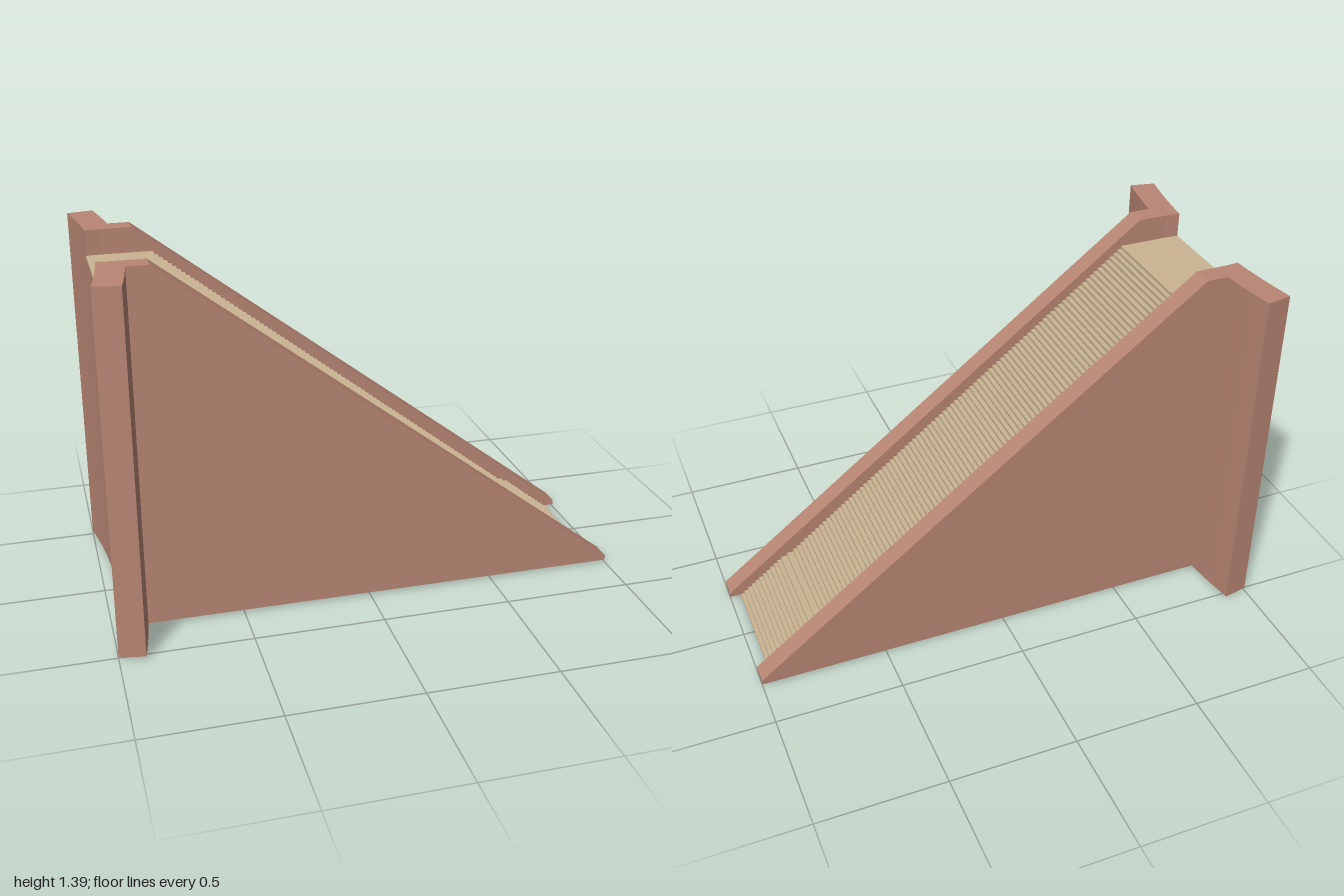
import * as THREE from 'three';

const brick = new THREE.MeshStandardMaterial({ color: 0xb98674 });
brick.name = 'brick red';
const sand = new THREE.MeshStandardMaterial({ color: 0xcab593 });
sand.name = 'sandstone';

const WALL_TOP = 1.395, BASE = 0.01, LANDING = 1.298;
const HALF = 0.226;               // half width of the stairway
const WALL_OUT = 0.306;           // outer face of the side walls
const R_IN = 2.6, R_OUT = 2.7, CX = -3.55; // arc of the curved back wall

function addMesh(group, name, geometry, material) {
  const mesh = new THREE.Mesh(geometry, material);
  mesh.name = name;
  group.add(mesh);
  return mesh;
}

// Upright profile in x/y, extruded between two z values
function profile(points, z0, z1) {
  const shape = new THREE.Shape(points.map(([x, y]) => new THREE.Vector2(x, y)));
  return new THREE.ExtrudeGeometry(shape, { depth: z1 - z0, bevelEnabled: false }).translate(0, 0, z0);
}

// Block of curved wall between two angles and two heights
function arcBlock(a0, a1, y0, y1) {
  const shape = new THREE.Shape();
  shape.absarc(CX, 0, R_OUT, a0, a1, false);
  shape.absarc(CX, 0, R_IN, a1, a0, true);
  return new THREE.ExtrudeGeometry(shape, { depth: y1 - y0, bevelEnabled: false, curveSegments: 12 })
    .rotateX(-Math.PI / 2).translate(0, y0, 0);
}

// Sawtooth flight with a sloping underside
function stairProfile() {
  const count = 100, startX = -0.71, endX = 0.957;
  const rise = LANDING / count;
  const weight = i => (i === 86 || i === 87 ? 1.6 : 1); // two deeper treads
  let total = 0;
  for (let i = 0; i < count - 1; i++) total += weight(i);
  const points = [[startX, LANDING]];
  let x = startX;
  for (let i = 0; i < count; i++) {
    const y = LANDING - (i + 1) * rise;
    points.push([x, y]);
    if (i < count - 1) {
      x += (endX - startX) * weight(i) / total;
      points.push([x, y]);
    }
  }
  points.push([0.915, 0], [startX, LANDING - 0.04]);
  return points;
}

export function createModel() {
  const model = new THREE.Group();
  model.name = 'walledStaircase';

  // Sloping side walls
  const side = [[-0.9, BASE], [1, BASE], [1, 0.03], [-0.785, WALL_TOP], [-0.9, WALL_TOP]];
  addMesh(model, 'leftSideWall', profile(side, HALF, WALL_OUT), brick);
  addMesh(model, 'rightSideWall', profile(side, -WALL_OUT, -HALF), brick);

  // Curved back wall: two tall wings and a lower centre under the landing
  const inner = HALF / 2.65, outer = 0.198;
  addMesh(model, 'backWallWingRight', arcBlock(inner, outer, BASE, WALL_TOP), brick);
  addMesh(model, 'backWallWingLeft', arcBlock(-outer, -inner, BASE, WALL_TOP), brick);
  addMesh(model, 'backWallCentre', arcBlock(-inner, inner, BASE, LANDING - 0.008), brick);

  // Landing and steps
  const landing = [[-0.96, LANDING - 0.008], [-0.71, LANDING - 0.008], [-0.71, LANDING], [-0.96, LANDING]];
  addMesh(model, 'landing', profile(landing, -HALF, HALF), sand);
  addMesh(model, 'steps', profile(stairProfile(), -HALF, HALF), sand);

  return model;
}
